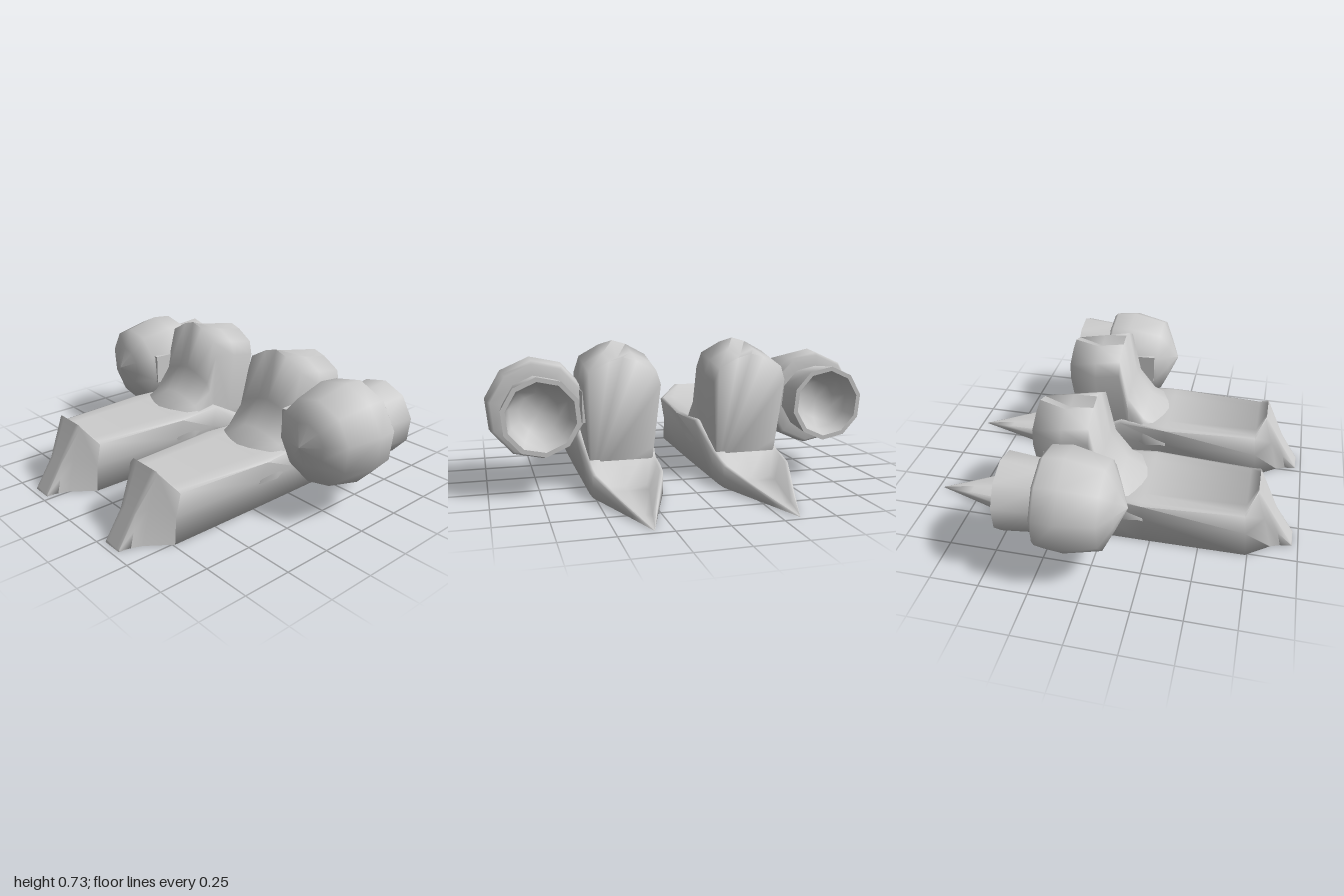
import * as THREE from 'three';
import { toCreasedNormals } from 'three/addons/utils/BufferGeometryUtils.js';

const mat = new THREE.MeshStandardMaterial({ color: 0xcccccc, side: THREE.DoubleSide });

// Foot stations, toe to heel tip: [z at sole, z at top, sole half width, top half width, top y, hollow depth]
const footStations = [
  [.97, .965, .055, .055, .01, 0],
  [.91, .87, .065, .055, .16, 0],
  [.86, .77, .085, .1, .355, 0],
  [.74, .72, .175, .2, .28, 0],
  [.21, .21, .18, .237, .28, 0],
  [-.05, -.05, .18, .21, .28, 0],
  [-.28, -.28, .18, .18, .15, 0],
  [-.38, -.38, .18, .18, .128, .1],
  [-.45, -.45, .175, .175, .113, .09],
  [-.8, -.8, .057, .057, .037, .025],
  [-.97, -.97, .002, .002, .002, 0],
];

// Upright sole wall, flared upper edge, then a rim around a flat or hollowed top
function footSection([z0, z1, sole, wide, top, hollow]) {
  return [
    [sole, 0, z0],
    [sole, top * .5, (z0 + z1) / 2],
    [wide, top * .97, z1],
    [wide * .9, top, z1],
    [wide * .6, top - hollow, z1],
    [0, top - hollow, z1],
  ];
}

// Shaft stations, front to back: [z at base, z at top, half width, top y, crown dip]
const shaftStations = [
  [.21, .21, .2, .275, 0],
  [.09, .08, .208, .34, 0],
  [0, -.01, .205, .47, 0],
  [-.06, -.06, .202, .73, 0],
  [-.18, -.2, .2, .7, .05],
  [-.275, -.355, .195, .67, 0],
];

// Tapered sides closed by a faceted dome, dipped along the crown line
function shaftSection([z0, z1, width, top, dip]) {
  const base = .02;
  const outline = [[.78, 0], [.86, .28], [1, .78], [.87, .89], [.36, .97], [0, 1]];
  return outline.map(([w, t]) => [
    w * width,
    base + t * (top - base) - (w === 0 ? dip : 0),
    z0 + t * (z1 - z0),
  ]);
}

// Mirrors each half section into a ring, skins the rings and caps both ends
function loft(sections) {
  const pos = [], idx = [];
  const n = sections[0].length * 2 - 1;
  for (const half of sections) {
    const mirrored = half.slice(0, -1).reverse().map(([x, y, z]) => [-x, y, z]);
    for (const p of [...half, ...mirrored]) pos.push(...p);
  }
  const last = (sections.length - 1) * n;
  for (let i = 0; i < last; i += n) {
    for (let j = 0; j < n; j++) {
      const a = i + j, b = i + (j + 1) % n;
      idx.push(a, a + n, b, b, a + n, b + n);
    }
  }
  for (let j = 1; j < n - 1; j++) {
    idx.push(0, j, j + 1, last, last + j + 1, last + j);
  }
  const g = new THREE.BufferGeometry();
  g.setAttribute('position', new THREE.Float32BufferAttribute(pos, 3));
  g.setIndex(idx);
  return toCreasedNormals(g, 1.62);
}

// Ten-sided turned part along z, from [radius, z] points
function turned(points) {
  const g = new THREE.LatheGeometry(points.map(([r, z]) => new THREE.Vector2(r, z)), 10);
  return g.rotateX(Math.PI / 2);
}

function part(name, geometry) {
  const m = new THREE.Mesh(geometry, mat);
  m.name = name;
  return m;
}

export function createModel() {
  const model = new THREE.Group();
  model.name = 'rocketBoots';

  const footGeo = loft(footStations.map(footSection));
  const shaftGeo = loft(shaftStations.map(shaftSection));
  const bodyGeo = turned([[.17, -.225], [.235, -.222], [.25, -.205], [.26, -.1], [.219, .085], [.11, .137], [0, .185]]);
  // Nozzle with a lip and a hollow bowl
  const nozzleGeo = toCreasedNormals(
    turned([[0, -.27], [.1, -.285], [.15, -.33], [.172, -.415], [.195, -.415], [.175, -.2]]), .95);
  const plateGeo = new THREE.BoxGeometry(.03, .16, .36);

  for (const side of [1, -1]) {
    const boot = new THREE.Group();
    boot.name = side > 0 ? 'leftBoot' : 'rightBoot';

    const foot = part('foot', footGeo);
    const shaft = part('shaft', shaftGeo);
    foot.position.x = shaft.position.x = side * .335;

    const thruster = new THREE.Group();
    thruster.name = 'thruster';
    thruster.position.set(side * .743, .402, 0);
    thruster.rotation.z = -side * .105;
    thruster.add(part('thrusterBody', bodyGeo), part('nozzle', nozzleGeo));

    const plate = part('mountingPlate', plateGeo);
    plate.position.set(side * .525, .42, -.11);
    plate.rotation.y = side * .05;

    boot.add(foot, shaft, thruster, plate);
    model.add(boot);
  }
  return model;
}
